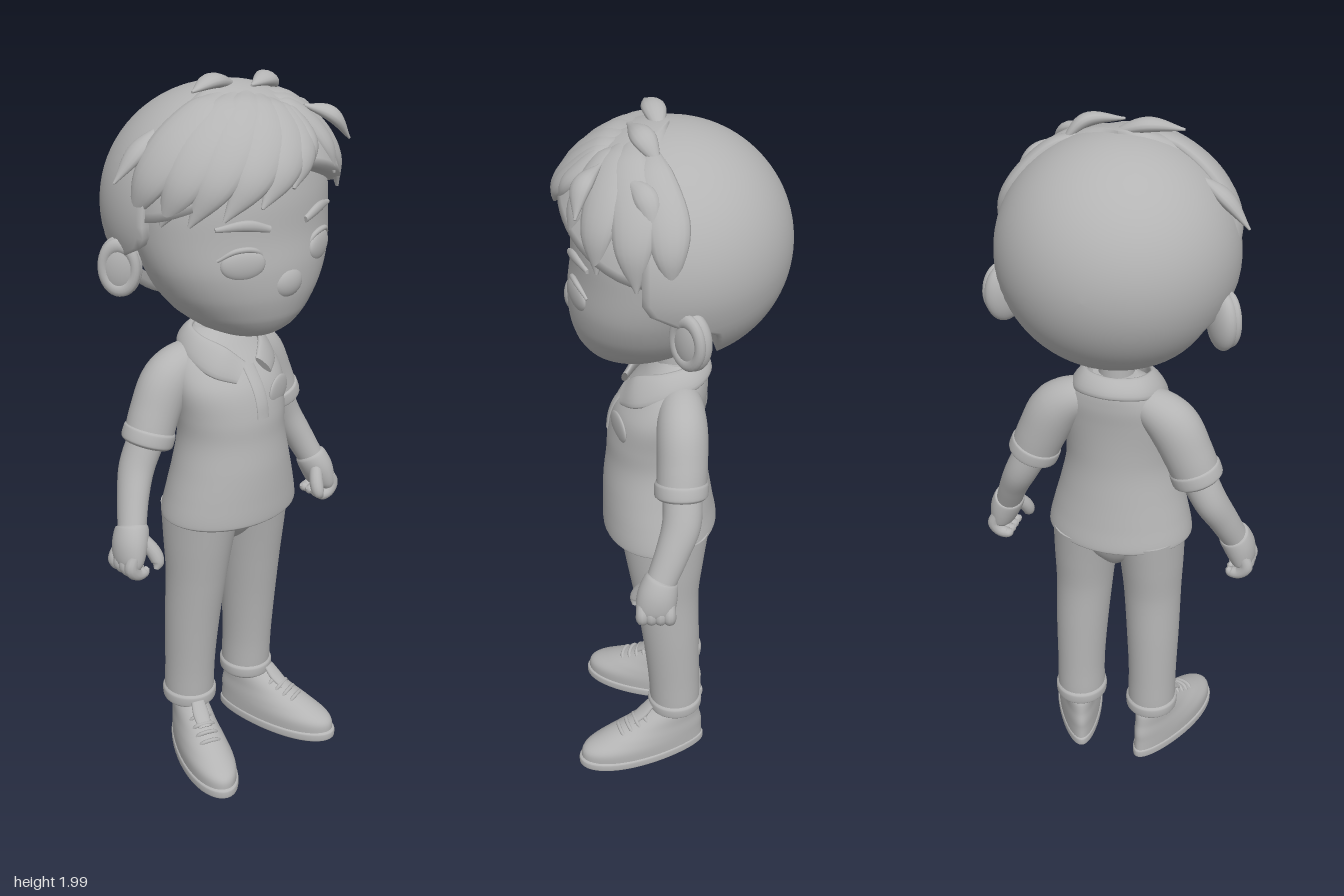
import * as THREE from 'three';

const V = (x, y, z) => new THREE.Vector3(x, y, z);
const grey = new THREE.MeshStandardMaterial({ color: 0xb4b4b4 });
grey.name = 'clay grey';
const HEAD = V(0, 1.66, 0);
const Z = V(0, 0, 1), Y = V(0, 1, 0);

// Grid of rows x (n) looping vertices, with optional flat end caps
function skin(rows, caps = true) {
  const n = rows[0].length, pos = [], idx = [];
  rows.forEach(r => r.forEach(p => pos.push(p.x, p.y, p.z)));
  for (let i = 0; i < rows.length - 1; i++) for (let j = 0; j < n; j++) {
    const a = i * n + j, b = i * n + (j + 1) % n;
    idx.push(a, a + n, b, b, a + n, b + n);
  }
  if (caps) [rows[0], rows[rows.length - 1]].forEach((r, end) => {
    const start = pos.length / 3, c = V(0, 0, 0);
    r.forEach(p => { pos.push(p.x, p.y, p.z); c.addScaledVector(p, 1 / n); });
    pos.push(c.x, c.y, c.z);
    for (let j = 0; j < n; j++) {
      const a = start + j, b = start + (j + 1) % n;
      if (end) idx.push(a, start + n, b); else idx.push(a, b, start + n);
    }
  });
  const g = new THREE.BufferGeometry();
  g.setAttribute('position', new THREE.Float32BufferAttribute(pos, 3));
  g.setIndex(idx);
  g.computeVertexNormals();
  return g;
}

// Smooth tube of ellipses through points [x, y, z, width, thickness];
// up gives the thickness direction, flat keeps every ring level
function sweep(pts, { up = () => Z, flat = false, n = 28, per = 6 } = {}) {
  const path = new THREE.CatmullRomCurve3(pts.map(p => V(p[0], p[1], p[2])));
  const size = new THREE.CatmullRomCurve3(pts.map(p => V(p[3], p[4], 0)), false, 'catmullrom', 0.5);
  const steps = (pts.length - 1) * per, rows = [];
  for (let i = 0; i <= steps; i++) {
    const c = path.getPoint(i / steps), r = size.getPoint(i / steps);
    const t = flat ? Y : path.getTangent(i / steps);
    const side = V(0, 0, 0).crossVectors(t, up(c)).normalize();
    const nor = V(0, 0, 0).crossVectors(side, t).normalize();
    const row = [];
    for (let j = 0; j < n; j++) {
      const a = j / n * Math.PI * 2;
      row.push(c.clone().addScaledVector(side, Math.cos(a) * Math.max(r.x, 0.001))
        .addScaledVector(nor, Math.sin(a) * Math.max(r.y, 0.001)));
    }
    rows.push(row);
  }
  return skin(rows);
}

export function createModel() {
  const model = new THREE.Group(), body = new THREE.Group();
  body.name = 'boy';
  body.rotation.y = Math.PI / 2; // the figure looks along +x
  model.add(body);
  const add = (name, geo, parent = body) => {
    const m = new THREE.Mesh(geo, grey);
    m.name = name;
    parent.add(m);
    return m;
  };
  const ball = (name, p, r, ry = 0) => {
    const m = add(name, new THREE.SphereGeometry(1, 28, 18));
    m.position.set(...p); m.scale.set(...r); m.rotation.y = ry;
    return m;
  };
  const level = rows => sweep(rows.map(([y, x, z, w, t]) => [x, y, z, w, t]), { flat: true, n: 48 });

  // Head and neck
  add('face', level([[1.335, 0, .1, .03, .03], [1.346, 0, .1, .08, .085], [1.37, 0, .09, .13, .13],
    [1.41, 0, .07, .18, .175], [1.47, 0, .06, .228, .2], [1.54, 0, .05, .262, .212], [1.62, 0, .03, .28, .222],
    [1.72, 0, .01, .285, .235], [1.82, 0, 0, .25, .22], [1.9, 0, 0, .17, .16], [1.94, 0, 0, .05, .05]]));
  ball('nose', [0, 1.505, .246], [.05, .042, .026]);
  add('neck', new THREE.CylinderGeometry(.046, .05, .14, 28)).position.set(0, 1.34, -.012);

  // Back hair: round shell whose rim turns inward to the face
  const shell = [];
  for (let i = 0; i <= 30; i++) {
    const row = [];
    for (let j = 0; j < 64; j++) {
      const phi = -j / 64 * Math.PI * 2;
      const edge = -.12 + .18 * THREE.MathUtils.smoothstep(Math.sin(phi), -.5, -.12);
      const th = Math.max(.001, Math.min(1, i / 28) * Math.acos(-edge / .31));
      const r = i > 28 ? 1 - (i - 28) * .06 : 1;
      row.push(V(.313 * Math.sin(th) * Math.cos(phi), .302 * Math.sin(th) * Math.sin(phi),
        -.31 * Math.cos(th)).multiplyScalar(r).add(HEAD));
    }
    shell.push(row);
  }
  add('backHair', skin(shell, false));

  // Front hair: cap that stops at the hairline
  const cap = [];
  for (let i = 0; i <= 22; i++) {
    const row = [];
    for (let j = 0; j < 64; j++) {
      const az = -j / 64 * Math.PI * 2, front = Math.max(0, Math.cos(az));
      const low = .02 + .44 * front * front;
      const th = Math.max(.001, Math.min(1, i / 20) * Math.acos(low));
      const r = (.292 + .018 * Math.min(1, front * 3)) * (i > 20 ? 1 - (i - 20) * .08 : 1);
      row.push(V(r * Math.sin(th) * Math.sin(az), r * Math.cos(th), r * Math.sin(th) * Math.cos(az)).add(HEAD));
    }
    cap.unshift(row);
  }
  add('frontHair', skin(cap, false));

  // Fringe locks [azimuth, elevation] from parting to tip, lying on the head
  const radial = p => p.clone().sub(HEAD);
  const onHead = (az, el, r) => {
    const a = az * Math.PI / 180, e = el * Math.PI / 180;
    return [r * Math.cos(e) * Math.sin(a), HEAD.y + r * Math.sin(e), r * Math.cos(e) * Math.cos(a)];
  };
  [
    [-40, 72, -70, 38, -88, 2, .068], [-20, 72, -52, 38, -70, 2, .066], [0, 72, -34, 40, -56, 3, .064],
    [12, 68, -14, 40, -40, 6, .06], [18, 64, 2, 40, -22, 11, .056], [22, 60, 13, 40, -4, 18, .046],
    [24, 56, 19, 42, 13, 26, .034], [26, 60, 36, 42, 36, 17, .044], [30, 64, 52, 38, 56, 5, .058],
    [40, 68, 72, 36, 76, 0, .06], [70, 66, 90, 32, 92, 3, .052],
  ].forEach(([a0, e0, a1, e1, a2, e2, w]) => add('fringeLock', sweep([
    [...onHead(a0, e0, .298), w * .4, .012], [...onHead((a0 + a1) / 2, (e0 + e1) / 2 + 4, .303), w * .85, .02],
    [...onHead(a1, e1, .304), w, .024],
    [...onHead((a1 + a2) / 2, (e1 + e2) / 2, .306), w * .75, .021], [...onHead(a2, e2, .302), .004, .004],
  ], { up: radial, n: 16 })));

  // Loose tufts on the crown
  [
    [[.15, 1.915, .02], [.1, 1.965, .06], [.01, 1.965, .1]], [[.04, 1.945, .02], [-.06, 1.977, .04], [-.15, 1.965, .065]],
    [[-.2, 1.88, 0], [-.27, 1.83, 0], [-.335, 1.76, -.01]], [[.28, 1.79, .03], [.235, 1.87, .05], [.18, 1.9, .1]],
    [[.13, 1.91, .16], [.19, 1.885, .2], [.24, 1.82, .215]],
  ].forEach(([a, b, c]) => add('tuft', sweep(
    [[...a, .004, .004], [...b, .03, .018], [...c, .003, .003]], { up: radial, n: 14, per: 8 })));

  // Shirt
  add('shirt', level([[.79, 0, .03, .196, .15], [.8, 0, .03, .207, .16], [.86, 0, .035, .195, .155],
    [.95, 0, .04, .172, .146], [1.03, 0, .04, .156, .136], [1.1, 0, .038, .158, .132], [1.18, 0, .025, .165, .122],
    [1.24, 0, 0, .15, .102], [1.29, 0, -.02, .11, .078], [1.32, 0, -.025, .06, .05]]));
  const flap = [[.04, 1.228, .124, .033, .009], [.085, 1.258, .085, .044, .011], [.106, 1.285, .01, .037, .012], [.078, 1.3, -.06, .032, .012]];
  add('collar', sweep([...flap, [0, 1.305, -.09, .03, .012],
    ...flap.map(([x, ...r]) => [-x, ...r]).reverse()], { up: p => V(p.x, .07, p.z + .01), n: 16 }));
  add('placket', sweep([[0, 1.1, .17, .02, .005], [0, 1.14, .164, .02, .005], [0, 1.18, .148, .02, .005], [0, 1.235, .108, .02, .005]], { n: 16 }));
  ball('chestPatch', [.085, 1.15, .136], [.055, .04, .009], .4);

  // Trouser seat
  add('trouserSeat', level([[.69, 0, .012, .02, .045], [.715, 0, .012, .05, .075], [.75, 0, .013, .11, .1], [.79, 0, .015, .17, .118], [.82, 0, .015, .186, .125]]));

  for (const s of [-1, 1]) {
    const side = s > 0 ? 'left' : 'right';
    const limb = (name, pts, o) => add(side + name, sweep(pts.map(([x, ...r]) => [s * x, ...r]), o));

    // Face details
    ball(side + 'Eye', [s * .128, 1.57, .226], [.058, .04, .016], s * .42);
    limb('UpperLid', [[.07, 1.578, .241, .004, .004], [.1, 1.604, .24, .007, .007], [.15, 1.608, .224, .007, .007], [.187, 1.585, .198, .004, .004]], { n: 10 });
    limb('Brow', [[.06, 1.652, .247, .009, .007], [.12, 1.668, .231, .014, .009], [.19, 1.662, .194, .006, .006]],
      { n: 12, up: p => V(p.x * .6, 0, p.z) });
    // Ear turned half to the front, with a raised rim
    ball(side + 'Ear', [s * .287, 1.53, -.058], [.057, .08, .034], s * .85);
    const rim = add(side + 'EarRim', new THREE.TorusGeometry(.041, .014, 14, 32));
    rim.position.set(s * .3, 1.532, -.046);
    rim.scale.y = 1.4;
    rim.rotation.y = s * .85;

    // Sleeve, arm and hand
    limb('Sleeve', [[.04, 1.245, -.025, .03, .035], [.1, 1.235, -.03, .055, .057], [.16, 1.193, -.034, .071, .067], [.205, 1.11, -.035, .069, .067], [.235, 1.035, -.032, .066, .066]]);
    limb('SleeveCuff', [[.221, 1.072, -.033, .064, .064], [.224, 1.064, -.033, .071, .071], [.235, 1.035, -.033, .071, .071], [.238, 1.027, -.033, .062, .062]]);
    limb('Arm', [[.225, 1.06, -.035, .05, .052], [.27, .97, -.035, .046, .052], [.303, .9, -.012, .041, .046], [.333, .825, .018, .037, .041]]);
    limb('Palm', [[.329, .838, .014, .03, .032], [.332, .828, .018, .043, .046], [.348, .79, .028, .044, .054], [.36, .745, .034, .034, .052], [.362, .722, .034, .015, .04]]);
    for (let i = 0; i < 4; i++) {
      const z = -.004 + i * .024;
      limb('Finger', [[.365, .77, z, .016, .016], [.376, .738, z, .02, .018], [.358, .715, z, .018, .018], [.333, .713, z, .015, .015], [.322, .722, z, .006, .006]], { n: 12 });
    }
    limb('Thumb', [[.325, .805, .05, .018, .018], [.305, .765, .075, .02, .02], [.302, .738, .088, .017, .017], [.312, .722, .092, .006, .006]], { n: 14 });

    // Trouser leg with rolled hem
    const post = (name, rows) => add(side + name, level(rows.map(([y, x, ...r]) => [y, s * x, ...r])));
    post('Leg', [[.165, .112, -.015, .068, .068], [.2, .112, -.015, .071, .074], [.3, .112, -.011, .071, .076],
      [.45, .109, -.002, .077, .083], [.6, .103, .01, .083, .093], [.7, .099, .013, .09, .107], [.81, .092, .015, .098, .124]]);
    post('Hem', [[.163, .112, -.015, .068, .07], [.172, .112, -.015, .076, .079], [.198, .112, -.015, .077, .08], [.208, .112, -.015, .07, .073]]);

    // Shoe, turned out and wider at the toe
    const shoe = new THREE.Group();
    shoe.name = side + 'Shoe';
    shoe.position.set(s * .122, 0, 0);
    shoe.rotation.y = s * .32;
    body.add(shoe);
    const widen = geo => {
      const p = geo.attributes.position;
      for (let i = 0; i < p.count; i++) p.setX(i, p.getX(i) * (.92 + p.getZ(i) * 1.1));
      geo.computeVertexNormals();
      return geo;
    };
    add('sole', widen(level([[0, 0, .09, .064, .188], [.006, 0, .09, .069, .196], [.026, 0, .09, .069, .196], [.032, 0, .09, .063, .189]])), shoe);
    add('upper', widen(level([[.02, 0, .089, .065, .191], [.06, 0, .086, .066, .186], [.09, 0, .06, .062, .16],
      [.12, 0, .03, .056, .124], [.155, 0, 0, .052, .09], [.182, 0, -.014, .043, .066]])), shoe);
    for (let i = 0; i < 4; i++) {
      const z = .086 + i * .024, y = .158 - i * .013;
      add('lace', sweep([[-.038, y - .026, z - .012, .005, .005], [-.02, y - .004, z, .006, .006],
        [.02, y - .004, z, .006, .006], [.038, y - .026, z - .012, .005, .005]], { n: 8 }), shoe);
    }
    add('tongue', sweep([[0, .135, .118, .02, .008], [0, .16, .085, .024, .01], [0, .188, .06, .02, .008]], { n: 14 }), shoe);
  }
  return model;
}
